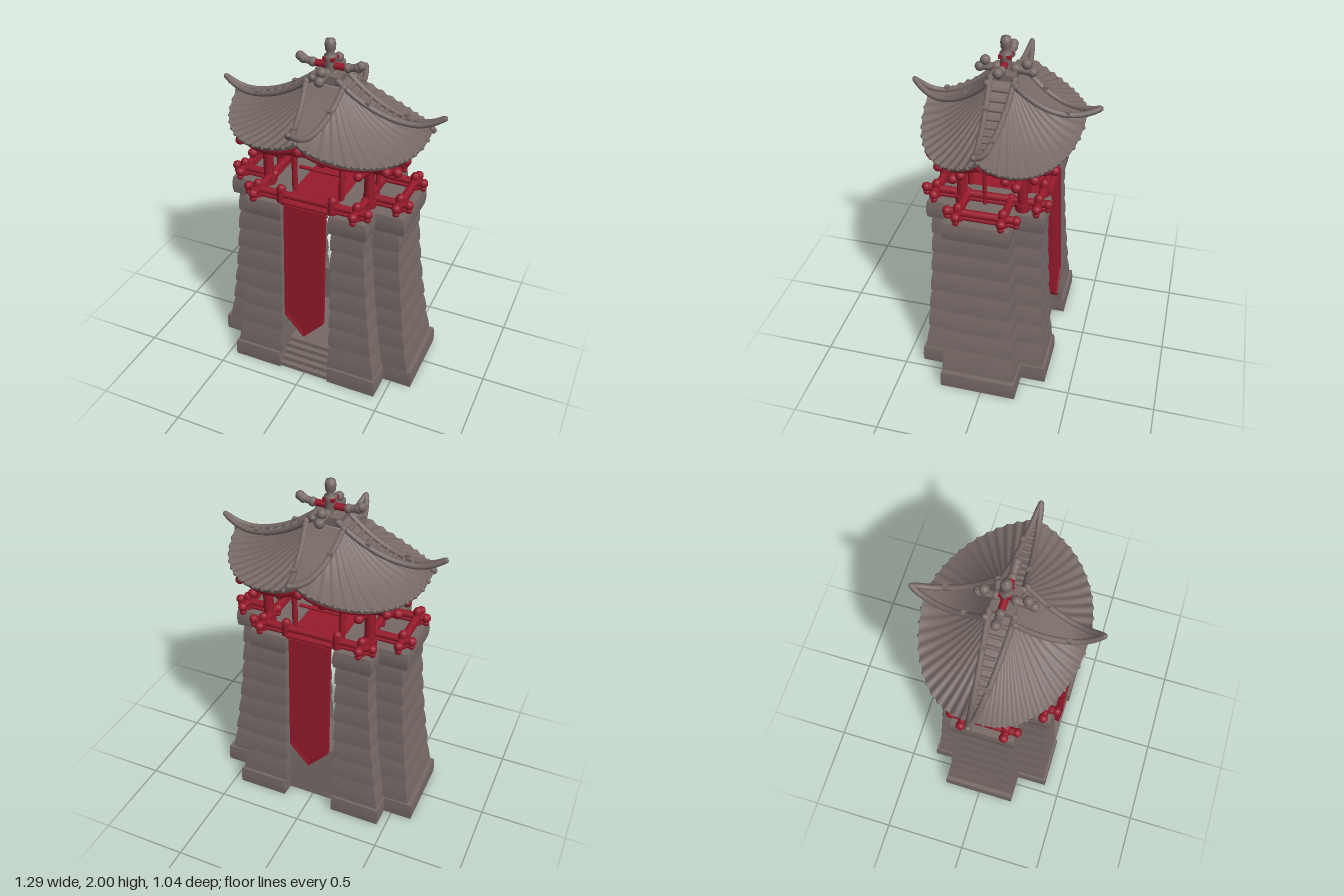
import * as THREE from 'three';
import { mergeGeometries } from 'three/addons/utils/BufferGeometryUtils.js';

const stone = new THREE.MeshStandardMaterial({ color: 0x776a66, side: THREE.DoubleSide });
stone.name = 'warm grey stone';
const red = new THREE.MeshStandardMaterial({ color: 0x981a2b, side: THREE.DoubleSide });
red.name = 'lacquer red';
const V = (x, y, z) => new THREE.Vector3(x, y, z);
const lerp = THREE.MathUtils.lerp;

function add(parent, name, geo, mat, x = 0, y = 0, z = 0) {
  const m = new THREE.Mesh(geo, mat);
  m.name = name;
  m.position.set(x, y, z);
  parent.add(m);
  return m;
}

// Round log from a to b, with optional knobs on both ends
function log(parent, name, a, b, r, mat = red, knob = 0) {
  const d = b.clone().sub(a);
  const m = add(parent, name, new THREE.CylinderGeometry(r, r, d.length(), 10), mat);
  m.position.copy(a).addScaledVector(d, 0.5);
  m.quaternion.setFromUnitVectors(V(0, 1, 0), d.normalize());
  if (knob) for (const p of [a, b]) add(parent, name + 'Knob', new THREE.SphereGeometry(knob, 10, 8), mat, p.x, p.y, p.z);
}

// Four-sided block from rect A (bottom) to rect B (top) with slightly bulging sides
function course(A, B, y0, y1, bulge, openBelow = false) {
  const g = new THREE.BoxGeometry(1, 1, 1, 1, 4, 1), p = g.attributes.position;
  for (let i = 0; i < p.count; i++) {
    const v = p.getY(i) + 0.5, o = bulge * Math.sin(Math.PI * v);
    const sx = Math.sign(p.getX(i)), sz = Math.sign(p.getZ(i));
    const k = sx > 0 ? 1 : 0, l = sz > 0 ? 3 : 2;
    p.setXYZ(i, lerp(A[k], B[k], v) + sx * o, lerp(y0, y1, v), lerp(A[l], B[l], v) + sz * o);
  }
  g.computeVertexNormals();
  if (openBelow) {
    const { start, count } = g.groups[3];
    g.setIndex(Array.from(g.index.array).filter((_, i) => i < start || i >= start + count));
  }
  g.clearGroups();
  return g;
}

// Tapered wall of stacked courses with a hollow plinth and a cap; rects are [x0, x1, z0, z1]
function wall(parent, name, base, foot, top, cap) {
  const ys = [0.1, 0.27, 0.4, 0.53, 0.67, 0.8, 0.93, 1.06];
  const at = y => { const k = Math.pow((1.06 - y) / 0.96, 1.5); return top.map((t, i) => lerp(t, foot[i], k)); };
  const grow = (r, d) => [r[0] - d, r[1] + d, r[2] - d, r[3] + d];
  const parts = [course(base, grow(base, -0.004), 0.005, 0.11, 0.003, true)];
  for (let i = 0; i < 7; i++) parts.push(course(grow(at(ys[i]), 0.004), grow(at(ys[i + 1]), -0.004), ys[i], ys[i + 1], 0.004));
  parts.push(course(grow(cap, -0.004), grow(cap, -0.006), 1.05, 1.155, 0.006));
  add(parent, name, mergeGeometries(parts), stone);
}

// Roof height: t = 0 at the apex, 1 at the eave; hips lie along the x and z axes
const RX = 0.575, RZ = 0.435;
const hipY = t => 1.6 + 0.25 * (1 - t / 0.85) ** 2;
const roofY = (t, a) => hipY(t) - 0.11 * t * t * Math.pow(Math.abs(Math.sin(2 * a)), 0.7);
const roofPoint = (t, a, dy = 0) => V(RX * t * Math.cos(a), roofY(t, a) + dy, RZ * t * Math.sin(a));

// Smooth grid surface from a function of u and v
function surface(f, nu, nv) {
  const pos = [], idx = [];
  for (let i = 0; i <= nu; i++) for (let j = 0; j <= nv; j++) pos.push(...f(i / nu, j / nv).toArray());
  for (let i = 0; i < nu; i++) for (let j = 0; j < nv; j++) {
    const a = i * (nv + 1) + j, b = a + nv + 1;
    idx.push(a, a + 1, b, b, a + 1, b + 1);
  }
  const g = new THREE.BufferGeometry();
  g.setAttribute('position', new THREE.Float32BufferAttribute(pos, 3));
  g.setIndex(idx);
  g.computeVertexNormals();
  return g;
}

function banner(parent, name, z, angle) {
  const outline = k => [[-0.12 + k, -k], [-0.12 + k, -0.74 + k * 0.5], [0, -0.87 + k * 1.4], [0.12 - k, -0.74 + k * 0.5], [0.12 - k, -k]].map(p => new THREE.Vector2(...p));
  const g = new THREE.Group();
  g.name = name;
  add(g, 'bannerCloth', new THREE.ExtrudeGeometry(new THREE.Shape(outline(0)), { depth: 0.024, bevelEnabled: false }), red, 0, 0, -0.03);
  const rim = new THREE.Shape(outline(0));
  rim.holes.push(new THREE.Path(outline(0.014)));
  add(g, 'bannerBorder', new THREE.ExtrudeGeometry(rim, { depth: 0.006, bevelEnabled: false }), red, 0, 0, -0.006);
  g.rotation.x = -0.042;
  const turn = new THREE.Group();
  turn.name = name + 'Mount';
  turn.rotation.y = angle;
  turn.position.set(0, 1.16, z);
  turn.add(g);
  log(turn, 'bannerRod', V(-0.13, 0.008, -0.02), V(0.13, 0.008, -0.02), 0.014);
  parent.add(turn);
}

function pavilion(parent) {
  const g = new THREE.Group();
  g.name = 'pavilion';
  parent.add(g);
  add(g, 'deck', new THREE.BoxGeometry(0.31, 0.02, 0.5), red, 0, 1.14, 0.03);
  // Railings of crossed logs around the cross-shaped terrace
  for (const [y, r] of [[1.17, 0.014], [1.202, 0.021]]) {
    const k = r + 0.005;
    for (const z of [0.14, -0.1]) for (const s of [-1, 1]) log(g, 'sideRail', V(s * 0.28, y, z), V(s * 0.515, y, z), r, red, k);
    for (const z of [0.31, -0.25]) log(g, 'frontRail', V(-0.35, y, z), V(0.35, y, z), r, red, k);
    for (const s of [-1, 1]) {
      log(g, 'endRail', V(s * 0.465, y, -0.17), V(s * 0.465, y, 0.2), r, red, k);
      log(g, 'crossRail', V(s * 0.29, y, -0.3), V(s * 0.29, y, 0.37), r, red, k);
    }
  }
  for (const s of [-1, 1]) {
    for (const [x, z] of [[0.465, 0.14], [0.465, -0.1], [0.29, 0.31], [0.29, -0.25], [0.15, 0.31], [0.15, -0.25]])
      log(g, 'railPost', V(s * x, 1.155, z), V(s * x, 1.235, z), 0.027, red, 0.024);
    // Columns, beams and eave brackets
    for (const q of [-1, 1]) {
      const x = s * 0.3, z = q * 0.165;
      log(g, 'column', V(x, 1.15, z), V(x, 1.53, z), 0.029);
      log(g, 'columnFoot', V(x, 1.15, z), V(x, 1.2, z), 0.04);
      log(g, 'innerPost', V(s * 0.14, 1.15, z), V(s * 0.14, 1.5, z), 0.016);
      log(g, 'bracket', V(x, 1.38, z), V(s * 0.45, 1.4, z), 0.02, red, 0.028);
      log(g, 'bracket', V(x, 1.41, z), V(s * 0.48, 1.45, z * 0.7), 0.018, red, 0.026);
      log(g, 'bracket', V(x, 1.38, z), V(x, 1.43, q * 0.33), 0.02, red, 0.026);
      log(g, 'bracket', V(x, 1.39, z), V(s * 0.42, 1.44, q * 0.25), 0.018, red, 0.026);
      log(g, 'bracket', V(s * 0.14, 1.42, z), V(s * 0.12, 1.49, q * 0.37), 0.018, red, 0.026);
      log(g, 'bracket', V(x, 1.36, z), V(s * 0.22, 1.46, z), 0.014);
    }
    log(g, 'sideTie', V(s * 0.3, 1.475, -0.2), V(s * 0.3, 1.475, 0.2), 0.022);
    log(g, 'sideStrut', V(s * 0.3, 1.15, 0.04), V(s * 0.3, 1.38, 0.04), 0.012);
    log(g, 'eaveArm', V(s * 0.3, 1.46, 0), V(s * 0.53, 1.55, 0), 0.02, red, 0.026);
    log(g, 'eaveArm', V(0, 1.46, s * 0.16), V(0, 1.54, s * 0.4), 0.02, red, 0.028);
    log(g, 'frontTie', V(-0.34, 1.475, s * 0.165), V(0.34, 1.475, s * 0.165), 0.022);
    log(g, 'ceilingBeam', V(s * 0.1, 1.45, -0.165), V(s * 0.1, 1.45, 0.165), 0.02);
    const arch = (a, m, b) => new THREE.TubeGeometry(new THREE.CatmullRomCurve3([a, m, b]), 16, 0.021, 8);
    add(g, 'frontBeam', arch(V(-0.3, 1.365, s * 0.165), V(0, 1.39, s * 0.165), V(0.3, 1.365, s * 0.165)), red);
    add(g, 'sideBeam', arch(V(s * 0.3, 1.35, -0.165), V(s * 0.3, 1.395, 0), V(s * 0.3, 1.35, 0.165)), red);
    log(g, 'innerRail', V(-0.14, 1.26, s * 0.1), V(0.14, 1.26, s * 0.1), 0.011);
  }
  add(g, 'ceiling', new THREE.BoxGeometry(0.58, 0.04, 0.31), red, 0, 1.5, 0);
  log(g, 'ceilingBeam', V(-0.3, 1.45, 0), V(0.3, 1.45, 0), 0.022);
}

// Pair of ridge tubes meeting at an upturned tip, with a plate between them
function hip(parent, dx, dz, reach, w0, lift) {
  const R = dx ? RX : RZ, start = 0.075 / R, end = reach / R;
  const at = (s, side, dy = 0) => {
    const t = lerp(start, end, s), w = side * w0 * Math.pow(1 - s, 0.75);
    const y = hipY(t) + 0.01 + lift * Math.max(0, t - 0.8) ** 2 + dy;
    return V(dx * R * t + dz * w, y, dz * R * t + dx * w);
  };
  add(parent, 'hipPlate', surface((u, v) => at(u, v * 2 - 1, -0.004), 24, 4), stone);
  for (const side of [-1, 1]) {
    const pts = [];
    for (let i = 0; i <= 12; i++) pts.push(at(i / 12, side, 0.004));
    add(parent, 'hipRidge', new THREE.TubeGeometry(new THREE.CatmullRomCurve3(pts), 32, 0.016, 8), stone);
    add(parent, 'ridgeKnob', new THREE.SphereGeometry(0.02, 8, 6), stone).position.copy(at(0, side, 0.004));
  }
  add(parent, 'hipTip', new THREE.SphereGeometry(0.015, 8, 6), stone).position.copy(at(1, 0, 0.004));
  for (const [s, side] of [[0.28, 1], [0.62, -1]]) add(parent, 'ridgeStud', new THREE.BoxGeometry(0.026, 0.026, 0.026), stone).position.copy(at(s, side, 0.014));
  // Stepped tiles on the long hips
  if (dx) for (let i = 1; i < 10; i++) log(parent, 'hipTile', at(i * 0.085, -0.9), at(i * 0.085, 0.9), 0.011, stone);
}

function roof(parent) {
  const g = new THREE.Group();
  g.name = 'roof';
  parent.add(g);
  const T = Math.PI * 2, ribs = 52;
  add(g, 'tileRoof', surface((u, v) => roofPoint(v, u * T, 0.006 * v * Math.cos(u * T * ribs)), ribs * 6, 16), stone);
  add(g, 'eaveEdge', surface((u, v) => roofPoint(1 - 0.015 * v, u * T, 0.006 * (1 - v) * Math.cos(u * T * ribs) - 0.022 * v), ribs * 6, 1), stone);
  add(g, 'redSoffit', surface((u, v) => roofPoint(0.985 - 0.985 * v, u * T, -0.022 - 0.025 * v), 96, 10), red);
  const tiles = [];
  for (let i = 0; i < ribs; i++) {
    const p = roofPoint(0.988, (i / ribs) * T, -0.006);
    tiles.push(new THREE.SphereGeometry(0.013, 8, 6).translate(p.x, p.y, p.z));
  }
  add(g, 'tileEnds', mergeGeometries(tiles), stone);
  for (const [t, dy, r] of [[0.9, -0.04, 0.024], [0.74, -0.06, 0.02]]) {
    const ring = [];
    for (let i = 0; i < 48; i++) ring.push(roofPoint(t, (i / 48) * T, dy));
    add(g, 'eaveBeam', new THREE.TubeGeometry(new THREE.CatmullRomCurve3(ring, true), 96, r, 8, true), red);
  }
  for (const s of [-1, 1]) {
    hip(g, s, 0, 0.632, 0.065, 0.4);
    hip(g, 0, s, 0.503, 0.105, s > 0 ? 0.32 : 0);
    // Crest arms
    log(g, 'crestArm', V(s * 0.1, 1.85, 0), V(s * 0.155, 1.86, 0), 0.02, stone, 0.026);
    add(g, 'crestBall', new THREE.SphereGeometry(0.026, 10, 8), stone, s * 0.172, 1.872, 0);
    add(g, 'crestBall', new THREE.SphereGeometry(0.028, 10, 8), stone, 0, 1.85, s * 0.11);
    log(g, 'crestArm', V(0, 1.82, s * 0.05), V(0, 1.81, s * 0.14), 0.022, stone, 0.027);
  }
  add(g, 'crestBlock', new THREE.BoxGeometry(0.16, 0.05, 0.13), stone, 0, 1.79, 0);
  log(g, 'crestBar', V(-0.1, 1.85, 0), V(0.1, 1.85, 0), 0.019);
  add(g, 'crestCollar', new THREE.BoxGeometry(0.066, 0.02, 0.066), red, 0, 1.89, 0);
  const finial = [[0.03, 1.79], [0.03, 1.87], [0.036, 1.885], [0.034, 1.905], [0.018, 1.918], [0.027, 1.935], [0.03, 1.965], [0.025, 1.99], [0, 2]];
  add(g, 'finial', new THREE.LatheGeometry(finial.map(p => new THREE.Vector2(...p)), 16), stone);
}

export function createModel() {
  const model = new THREE.Group();
  model.name = 'gateTower';
  // Two stone halves, each a long wing crossed by a deep pier, with a passage between
  for (const s of [-1, 1]) {
    const m = r => (s > 0 ? r : [-r[1], -r[0], r[2], r[3]]);
    const d = s * 0.012;
    wall(model, 'wing', m([0.165, 0.622, -0.215 + d, 0.23 + d]), m([0.165, 0.59, -0.2 + d, 0.222 + d]), m([0.165, 0.488, -0.14 + d, 0.192 + d]), m([0.16, 0.522, -0.157 + d, 0.21 + d]));
    wall(model, 'deepPier', m([0.155, 0.452, -0.348, 0.402]), m([0.155, 0.435, -0.325, 0.38]), m([0.152, 0.335, -0.275, 0.33]), m([0.14, 0.36, -0.295, 0.355]));
  }
  // Passage floor, low back wall and front steps
  add(model, 'passageFloor', new THREE.BoxGeometry(0.32, 0.02, 0.42), stone, 0, 0.125, 0.02);
  add(model, 'passageBackWall', course([-0.16, 0.16, -0.27, -0.17], [-0.16, 0.16, -0.235, -0.17], 0.005, 0.37, 0), stone);
  for (let i = 0; i < 5; i++) add(model, 'step', new THREE.BoxGeometry(0.31, 0.026, 0.045), stone, 0, 0.018 + i * 0.026, 0.367 - i * 0.03);
  banner(model, 'frontBanner', 0.35, 0);
  banner(model, 'backBanner', -0.29, Math.PI);
  pavilion(model);
  roof(model);
  return model;
}
